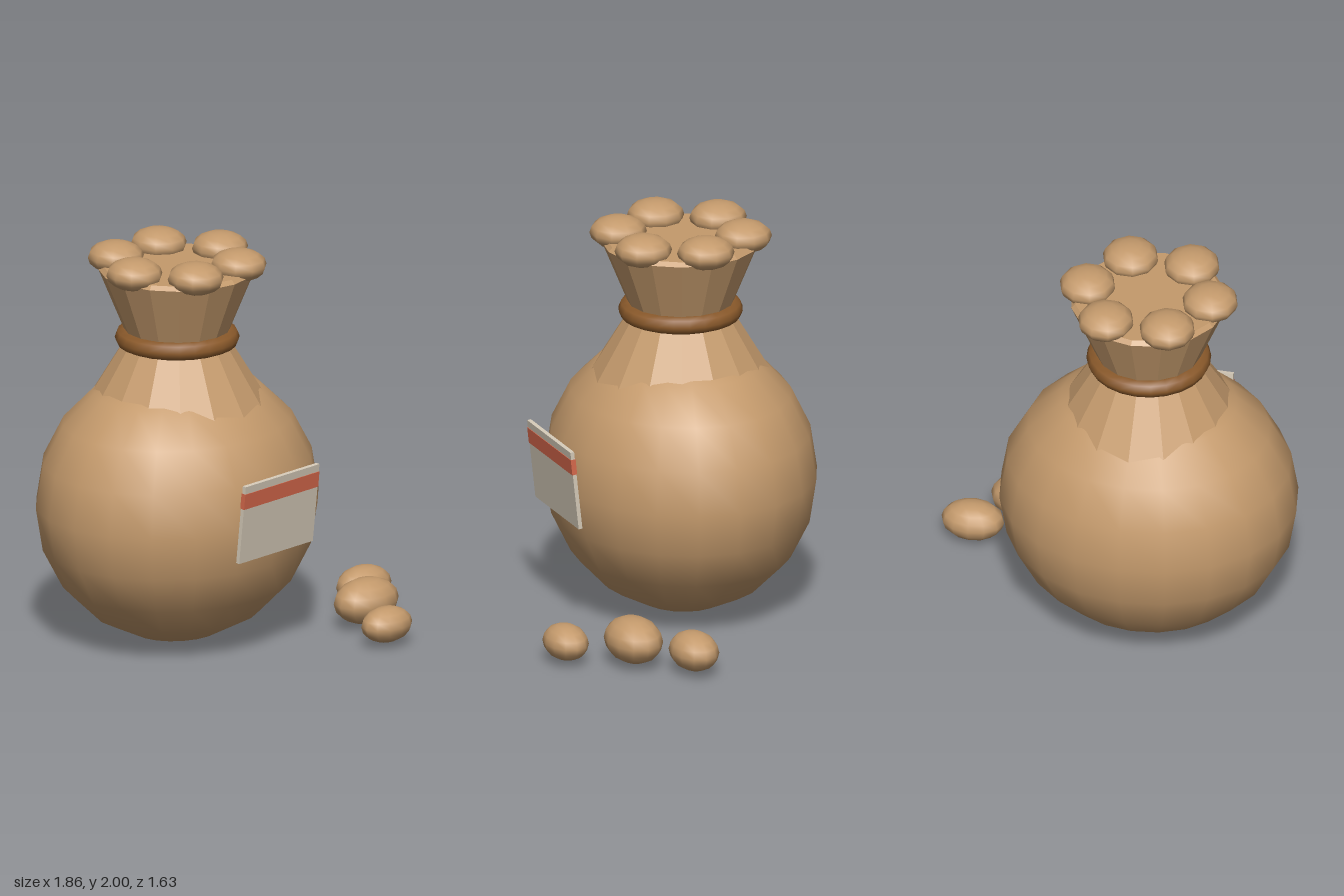
import * as THREE from 'three';

const material = (name, color, flatShading = false) => {
  const m = new THREE.MeshStandardMaterial({ color, flatShading });
  m.name = name;
  return m;
};

export function createModel() {
  const model = new THREE.Group();
  model.name = 'tiedSack';
  const burlap = material('burlap', 0xc49a6c);
  const rope = material('rope', 0x8b5a2b);
  const paper = material('paper', 0xd6cbb9);
  const red = material('labelRed', 0xd8694c);

  const add = (name, geometry, mat, x, y, z, parent = model) => {
    const mesh = new THREE.Mesh(geometry, mat);
    mesh.name = name;
    mesh.position.set(x, y, z);
    parent.add(mesh);
    return mesh;
  };

  // Everything on the sack shares one vertical axis
  const sack = new THREE.Group();
  sack.name = 'sack';
  sack.position.set(-0.195, 0, -0.155);
  model.add(sack);

  const ellipsoid = (rx, ry, rz, w, h) => new THREE.SphereGeometry(1, w, h).scale(rx, ry, rz);

  // Faceted truncated cone: non-indexed so each side is flat
  const cone = (top, bottom, y0, y1, sides) => {
    const g = new THREE.CylinderGeometry(top, bottom, y1 - y0, sides).toNonIndexed();
    g.computeVertexNormals();
    return g.translate(0, (y0 + y1) / 2, 0);
  };

  // Bag body, gathered neck and flared mouth
  add('body', ellipsoid(0.74, 0.7, 0.66, 20, 10), burlap, 0, 0.705, 0, sack);
  add('neck', cone(0.25, 0.47, 1.17, 1.53, 16), burlap, 0, 0, 0, sack);
  add('mouth', cone(0.385, 0.243, 1.535, 1.88, 16), burlap, 0, 0, 0, sack);
  add('mouthRim', cone(0.365, 0.385, 1.88, 1.9, 16), burlap, 0, 0, 0, sack);

  // Rope tie
  const tie = new THREE.TorusGeometry(0.26, 0.046, 8, 24).rotateX(Math.PI / 2);
  add('ropeTie', tie, rope, 0, 1.535, 0, sack);

  // Six nuts around the mouth
  const nut = ellipsoid(0.138, 0.08, 0.142, 10, 8);
  for (let i = 0; i < 6; i++) {
    const a = (i * Math.PI) / 3;
    add('mouthNut', nut, burlap, 0.308 * Math.cos(a), 1.922, 0.308 * Math.sin(a), sack);
  }

  // Loose nuts on the ground: position, then radii
  const loose = [
    [0.77, 0.12, 0.195, 0.157, 0.096, 0.117],
    [0.545, 0.137, 0.42, 0.185, 0.113, 0.137],
    [0.38, 0.113, 0.71, 0.145, 0.088, 0.107],
  ];
  for (const [x, y, z, rx, ry, rz] of loose)
    add('looseNut', ellipsoid(rx, ry, rz, 12, 8), burlap, x, y, z);

  // Label leaning forward, with a red band near its top
  const label = new THREE.Group();
  label.name = 'label';
  label.position.set(-0.195, 0.768, 0.517);
  label.rotation.x = 0.11;
  model.add(label);
  add('labelPanel', new THREE.BoxGeometry(0.53, 0.405, 0.02), paper, 0, 0, 0, label);
  add('labelBand', new THREE.BoxGeometry(0.533, 0.08, 0.026), red, 0, 0.124, 0, label);

  return model;
}
